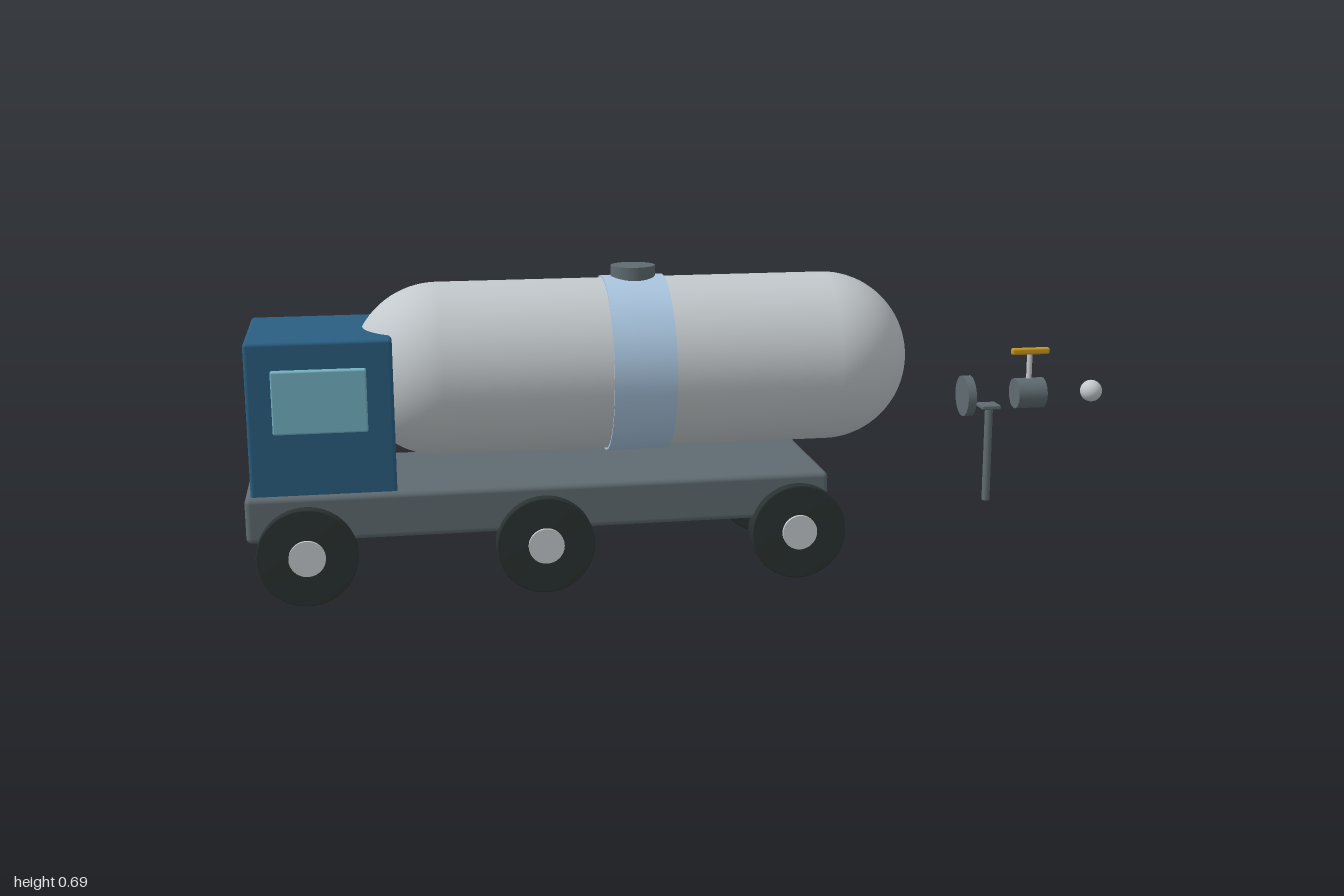
import * as THREE from 'three';
import { RoundedBoxGeometry } from 'three/addons/geometries/RoundedBoxGeometry.js';

const material = (name, color) => {
  const m = new THREE.MeshStandardMaterial({ color });
  m.name = name;
  return m;
};

export function createModel() {
  const cabBlue = material('cab blue', 0x2a5f82);
  const steel = material('steel', 0xc3c9cc);
  const slate = material('slate grey', 0x5f6b71);
  const rubber = material('rubber', 0x2a3231);
  const bandBlue = material('band blue', 0xaac6e0);
  const glass = material('glass', 0x74b3c3);
  const gold = material('gold', 0xc9961e);

  const model = new THREE.Group();
  model.name = 'tankerTruck';
  const body = new THREE.Group();
  body.name = 'truckAndFittings';
  body.position.z = -0.003;
  model.add(body);

  const add = (name, geometry, mat, x, y, z = 0) => {
    const mesh = new THREE.Mesh(geometry, mat);
    mesh.name = name;
    mesh.position.set(x, y, z);
    body.add(mesh);
    return mesh;
  };
  const box = (w, h, d, r) => new RoundedBoxGeometry(w, h, d, 3, r);
  const cylinder = (r, length, sides = 48) => new THREE.CylinderGeometry(r, r, length, sides);
  const alongX = (geometry) => geometry.rotateZ(-Math.PI / 2);
  const alongZ = (geometry) => geometry.rotateX(Math.PI / 2);

  // Chassis and cab
  add('chassis', box(1.275, 0.1, 0.368, 0.012), slate, -0.3625, 0.187);
  add('cab', box(0.308, 0.34, 0.34, 0.008), cabBlue, -0.833, 0.399);
  add('cabWindow', box(0.198, 0.136, 0.02, 0.004), glass, -0.834, 0.442, 0.178);

  // Tank with its band and filling hatch
  const tankY = 0.469;
  add('tank', alongX(new THREE.CapsuleGeometry(0.193, 0.877, 20, 64)), steel, -0.1365, tankY);
  add('tankBand', alongX(cylinder(0.198, 0.138, 64)), bandBlue, -0.139, tankY);
  add('hatch', cylinder(0.05, 0.06), slate, -0.138, 0.66);

  // Wheels: the hub cap sits on the +z face of every tire
  const tireProfile = [[0, -0.025], [0.104, -0.025], [0.107, -0.022], [0.107, 0.022], [0.104, 0.025], [0, 0.025]]
    .map(([r, y]) => new THREE.Vector2(r, y));
  for (const x of [-0.874, -0.364, 0.203]) {
    for (const z of [0.185, -0.185]) {
      add('tire', alongZ(new THREE.LatheGeometry(tireProfile, 48)), rubber, x, 0.108, z);
      add('hubCap', alongZ(cylinder(0.039, 0.03)), steel, x, 0.109, z + 0.018);
    }
  }

  // Separate outlet fittings behind the truck
  add('flange', alongX(cylinder(0.048, 0.02)), slate, 0.658, 0.358);
  add('drainPipe', cylinder(0.0095, 0.23, 24), slate, 0.716, 0.215);
  add('drainPlate', box(0.046, 0.01, 0.046, 0.003), slate, 0.715, 0.331);
  add('valveBody', alongX(cylinder(0.036, 0.07, 32)), slate, 0.813, 0.359);
  add('valveStem', cylinder(0.0065, 0.08, 24), steel, 0.813, 0.42);
  add('valveHandle', box(0.094, 0.016, 0.016, 0.005), gold, 0.814, 0.46);
  add('outletBall', new THREE.SphereGeometry(0.026, 32, 24), steel, 0.972, 0.358);

  return model;
}
